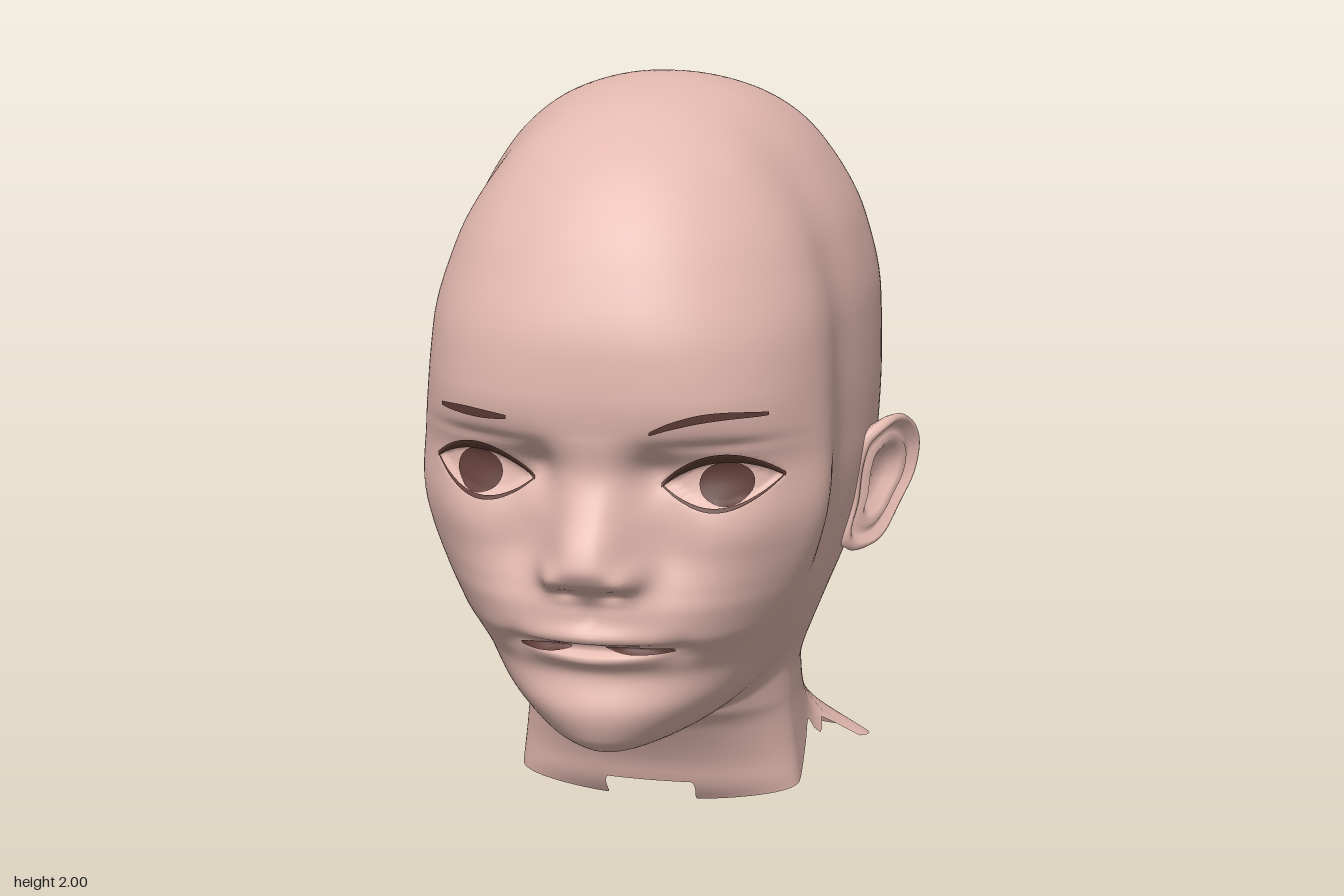
import * as THREE from 'three';

// Monotone cubic curve through [position, value] pairs
function curve(p) {
  const n = p.length, d = [], m = [];
  for (let i = 0; i < n - 1; i++) d.push((p[i + 1][1] - p[i][1]) / (p[i + 1][0] - p[i][0]));
  for (let i = 0; i < n; i++) {
    if (i === 0) m.push(d[0]);
    else if (i === n - 1) m.push(d[n - 2]);
    else m.push(d[i - 1] * d[i] <= 0 ? 0 : 2 * d[i - 1] * d[i] / (d[i - 1] + d[i]));
  }
  return (x) => {
    if (x <= p[0][0]) return p[0][1];
    if (x >= p[n - 1][0]) return p[n - 1][1];
    let i = 0;
    while (x > p[i + 1][0]) i++;
    const h = p[i + 1][0] - p[i][0], t = (x - p[i][0]) / h, t2 = t * t, t3 = t2 * t;
    return (2 * t3 - 3 * t2 + 1) * p[i][1] + (t3 - 2 * t2 + t) * h * m[i]
      + (3 * t2 - 2 * t3) * p[i + 1][1] + (t3 - t2) * h * m[i + 1];
  };
}
// Radius curves blend squares, so they close roundly
function radius(p) {
  const f = curve(p.map(([y, r]) => [y, r * r]));
  return (y) => Math.sqrt(Math.max(f(y), 1e-8));
}

// Skull and jaw: front, back, half width by height, and squareness of the face
const headFront = radius([[.325, .25], [.33, .5], [.335, .6], [.345, .65], [.39, .705], [.47, .73], [.56, .708],
  [.62, .735], [.68, .768], [.75, .77], [.8, .76], [.9, .74], [1, .74], [1.1, .75], [1.2, .775],
  [1.3, .785], [1.4, .78], [1.6, .71], [1.8, .57], [1.93, .37], [2, 0]]);
const headBack = radius([[.325, .25], [.5, .38], [.65, .48], [.74, .545], [.8, .635], [.875, .735], [.97, .82],
  [1.13, .86], [1.315, .87], [1.395, .86], [1.565, .79], [1.73, .68], [1.85, .55], [1.95, .31], [2, 0]]);
const headWidth = radius([[.325, .05], [.33, .12], [.335, .16], [.345, .2], [.375, .265], [.42, .32], [.5, .388],
  [.6, .442], [.75, .5], [.9, .537], [1.05, .555], [1.2, .56], [1.4, .555], [1.6, .515], [1.8, .41], [1.925, .28], [2, 0]]);
const faceSquare = curve([[.35, 2], [.65, 2.4], [1, 2.95], [1.25, 2.7], [1.6, 2.3], [2, 2]]);
// Neck
const neckFront = radius([[0, .07], [.085, .14], [.15, .165], [.28, .245], [.335, .3], [.5, .38], [.8, .3]]);
const neckBack = radius([[0, .73], [.03, .72], [.175, .66], [.334, .605], [.49, .58], [.65, .578], [.775, .575], [.95, .5]]);
const neckWidth = radius([[0, .4], [.12, .385], [.2, .375], [.3, .365], [.5, .36], [.7, .365], [.95, .3]]);
// Uneven lower edge, by angle from the front
const neckEdge = curve([[0, .09], [.7, .09], [.92, .03], [1.57, .07], [1.9, .13], [2.14, .17], [2.25, .11],
  [2.4, .135], [2.46, .065], [2.6, .05], [2.8, .025], [Math.PI, 0]]);
// Nose height and half width
const noseHeight = curve([[.765, 0], [.8, .03], [.84, .1], [.885, .13], [.92, .12], [1, .07], [1.1, .015], [1.2, 0]]);
const noseWidth = curve([[.78, .115], [.85, .112], [.95, .092], [1.1, .075]]);

const polar = (w, l, n, a) =>
  Math.pow(Math.pow(Math.abs(Math.sin(a)) / w, n) + Math.pow(Math.abs(Math.cos(a)) / l, n), -1 / n);
const bump = (x, y, cx, cy, sx, sy) => Math.exp(-(((x - cx) / sx) ** 2) - ((y - cy) / sy) ** 2);

// Eye opening, by distance across it (-1 to 1)
const eyeX = .307, eyeHalf = .145;
const upperLid = (u) => 1.075 + .062 * (1 - u * u) + .008 * u;
const lowerLid = (u) => 1.075 - .066 * (1 - u * u) + .008 * u;

// Forward relief of the facial features
function relief(sx, y) {
  const x = Math.abs(sx), u = (x - eyeX) / eyeHalf;
  let z = noseHeight(y) * Math.exp(-Math.pow(x / noseWidth(y), 3));
  z += .035 * bump(x, y, .098, .845, .035, .035) - .015 * bump(x, y, .06, .8, .028, .014);
  z -= .03 * bump(x, y, .19, .93, .07, .15);
  z -= .078 * bump(x, y, .29, 1.09, .16, .085) + .035 * bump(x, y, .145, 1.1, .045, .06);
  z += .03 * bump(x, y, .31, 1.07, .13, .075) - .01 * bump(x, y, .31, 1.175, .13, .015);
  z += .012 * bump(x, y, .38, .93, .12, .09);
  const inside = Math.abs(u) < 1 ? Math.min(upperLid(u) - y, y - lowerLid(u)) : 0;
  z -= .016 * THREE.MathUtils.smoothstep(inside, 0, .014);
  z += .02 * bump(x, y, 0, .685, .13, .025) + .03 * bump(x, y, 0, .618, .11, .022);
  z -= .04 * Math.exp(-(((y - .65) / .012) ** 2) - (x / .18) ** 4);
  z -= .01 * bump(x, y, 0, .74, .025, .035) + .015 * bump(x, y, .21, .64, .04, .04);
  return z;
}
function faceZ(x, y) {
  const n = faceSquare(y), k = Math.min(Math.abs(x) / headWidth(y), 1);
  return headFront(y) * Math.pow(1 - Math.pow(k, n), 1 / n) + relief(x, y);
}

// Surface from a point rule on a grid, optionally closed around
function surface(nu, nv, closed, rule, flip = false) {
  const pos = [], idx = [], cols = closed ? nu : nu + 1;
  for (let j = 0; j <= nv; j++) for (let i = 0; i < cols; i++) pos.push(...rule(i / nu, j));
  for (let j = 0; j < nv; j++) {
    for (let i = 0; i < nu; i++) {
      const a = j * cols + i, b = j * cols + (i + 1) % cols, c = b + cols, d = a + cols;
      if (flip) idx.push(a, c, b, a, d, c);
      else idx.push(a, b, c, a, c, d);
    }
  }
  const g = new THREE.BufferGeometry();
  g.setAttribute('position', new THREE.Float32BufferAttribute(pos, 3));
  g.setIndex(idx);
  g.computeVertexNormals();
  return g;
}

function headGeometry() {
  const rows = [];
  for (let i = 0; i < 14; i++) rows.push((a) => THREE.MathUtils.lerp(neckEdge(a), .3, i / 14));
  for (let i = 0; i < 15; i++) rows.push(() => .3 + i * .004);
  for (let i = 0; i < 94; i++) rows.push(() => .36 + i * .01);
  for (let i = 0; i <= 36; i++) rows.push(() => 1.3 + .7 * Math.sin(i / 36 * Math.PI / 2));
  return surface(200, rows.length - 1, true, (u, j) => {
    const t = u * Math.PI * 2, a = t - .45 * Math.sin(t);
    const y = rows[j](Math.min(a, Math.PI * 2 - a)), front = Math.cos(a) > 0;
    let r = y < .325 ? 0 : front ? polar(headWidth(y), headFront(y), faceSquare(y), a)
      : polar(headWidth(y), headBack(y), 2.35, a);
    if (y < .95) {
      const neck = front ? polar(neckWidth(y), neckFront(y), 2, a) : polar(neckWidth(y), neckBack(y), 2.4, a);
      // Soft join, wider at the nape
      const k = .06 + .1 * THREE.MathUtils.smoothstep(-Math.cos(a), -.3, .6), gap = Math.max(k - Math.abs(r - neck), 0);
      r = Math.max(r, neck) + (y < .325 ? 0 : gap * gap / (4 * k));
    }
    let x = r * Math.sin(a), z = r * Math.cos(a);
    // Hollow before the ear, fullness behind it, cheekbone
    if (y > .3) {
      const upper = THREE.MathUtils.smoothstep(y, .5, .9);
      x *= 1 + upper * (.02 * Math.exp(-(((z + .23) / .18) ** 2)) - .06 * Math.exp(-(((z - .2) / .15) ** 2)))
        + .05 * bump(z, y, .44, .95, .1, .2);
    }
    if (front && y > .4) z += relief(x, y);
    // Flare of the neck toward the shoulders
    x *= 1 + .72 * Math.exp(-(((z + .52) / .19) ** 2) - (y / .125) ** 2);
    return [x, y, z];
  });
}

// Ear: rings shrinking from the back, over the rim, into the bowl
function earGeometry(side) {
  const outline = new THREE.CatmullRomCurve3([[0, .98], [-.02, 1.05], [-.09, 1.09], [-.17, 1.07], [-.225, 1],
    [-.215, .91], [-.15, .83], [-.08, .755], [-.01, .73], [.015, .76], [.005, .86]]
    .map(([z, y]) => new THREE.Vector3(0, y, z)), true);
  const rings = [[.55, -.11], [.8, -.06], [.96, -.02], [1, 0], [.96, .012], [.89, .012], [.8, -.008],
    [.7, -.006], [.62, .003], [.52, -.008], [.38, -.03], [.2, -.038], [.01, -.04]];
  return surface(56, rings.length - 1, true, (u, j) => {
    const p = outline.getPoint(u), [s, out] = rings[j];
    const y = .92 + (p.y - .92) * s, z = -.09 + (p.z + .09) * s;
    const tuck = .045 * Math.exp(-(((z - .02) / .05) ** 2));
    return [side * (.552 + .07 * (y - .73) - .4 * z - tuck + out), y, z];
  }, side < 0);
}

// Thin strip lying on the face along a line of [x, y] points, narrower at its ends
function strip(points, half, lift = .005) {
  const line = new THREE.SplineCurve(points.map(([x, y]) => new THREE.Vector2(x, y)));
  return surface(32, 2, false, (u, j) => {
    const p = line.getPoint(u), y = p.y + (j - 1) * half * (.4 + .6 * Math.sin(Math.PI * u));
    return [p.x, y, faceZ(p.x, y) + lift];
  });
}

export function createModel() {
  const paint = (name, color) => {
    const m = new THREE.MeshStandardMaterial({ color, side: THREE.DoubleSide });
    m.name = name;
    return m;
  };
  const skin = paint('skin', 0xe4bab0), brown = paint('darkBrown', 0x633f39);
  const model = new THREE.Group();
  model.name = 'head';
  const add = (name, geometry, material) => {
    const mesh = new THREE.Mesh(geometry, material);
    mesh.name = name;
    model.add(mesh);
  };

  add('headAndNeck', headGeometry(), skin);
  for (const side of [1, -1]) {
    const label = side > 0 ? 'left' : 'right';
    add(label + 'Ear', earGeometry(side), skin);
    // Iris draped over the eyeball
    add(label + 'Iris', surface(32, 6, true, (u, j) => {
      const a = u * Math.PI * 2, x = side * .318 + .065 * j / 6 * Math.cos(a), y = 1.07 + .054 * j / 6 * Math.sin(a);
      return [x, y, faceZ(x, y) + .005];
    }, true), brown);
    const lid = (rule) => [-1, -.7, -.35, 0, .35, .7, 1].map((u) => [side * (eyeX + eyeHalf * u), rule(u)])
      .sort((a, b) => a[0] - b[0]);
    add(label + 'UpperLashes', strip(lid(upperLid), .014, .009), brown);
    add(label + 'LowerLashes', strip(lid(lowerLid), .005, .007), brown);
  }
  // Brows differ slightly from side to side
  add('leftBrow', strip([[.15, 1.215], [.2, 1.235], [.27, 1.252], [.34, 1.256], [.42, 1.25]], .011), brown);
  add('rightBrow', strip([[-.42, 1.232], [-.35, 1.236], [-.28, 1.236], [-.215, 1.237]], .012), brown);
  // Line between the lips
  add('leftLipLine', strip([[.03, .652], [.1, .646], [.2, .644]], .009), brown);
  add('rightLipLine', strip([[-.2, .638], [-.13, .642], [-.06, .648]], .009), brown);
  return model;
}
